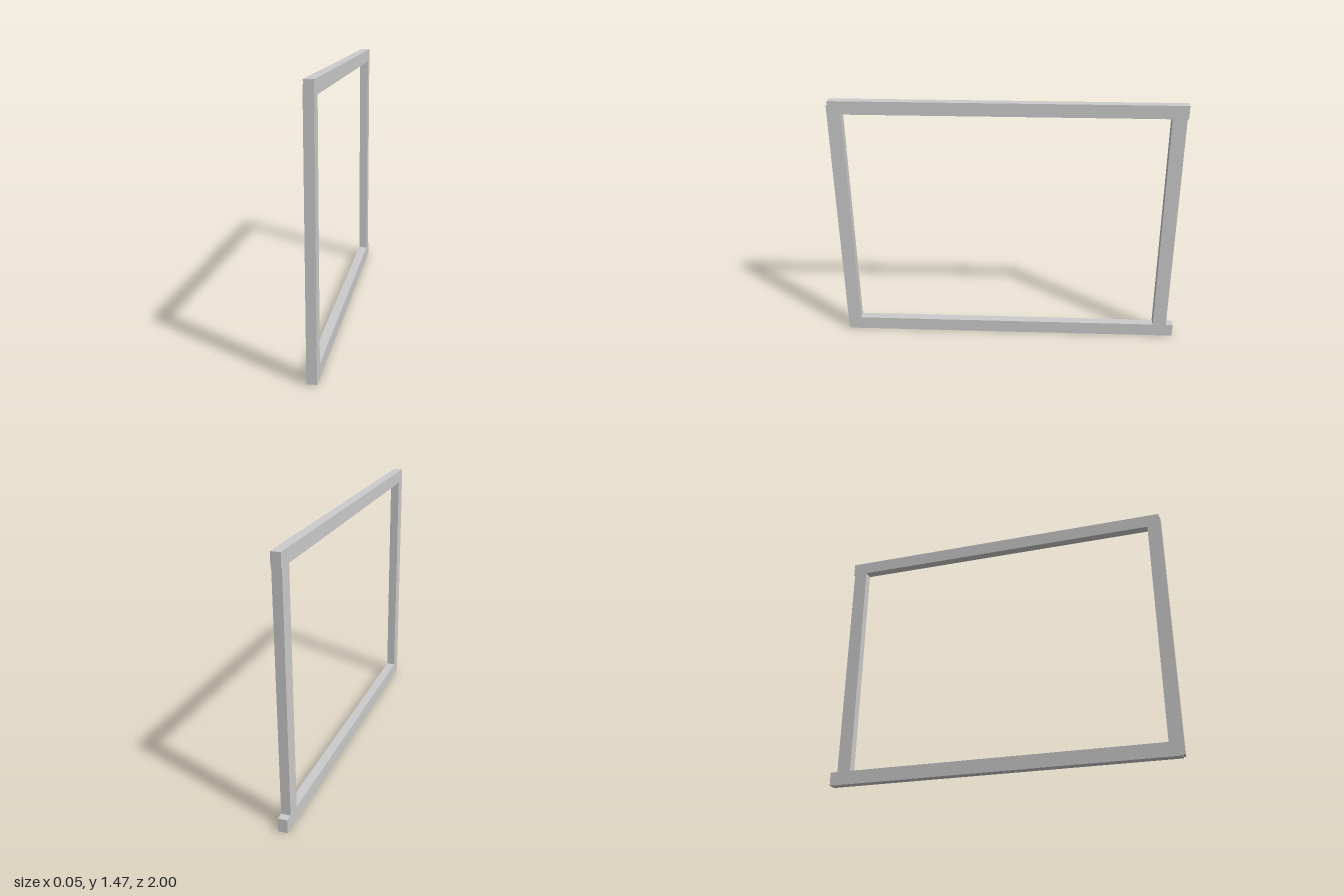
import * as THREE from 'three';

const WIDTH = 0.052;

export function createModel() {
  const group = new THREE.Group();
  group.name = 'rectangularFrame';
  const material = new THREE.MeshStandardMaterial({ color: 0xcccccc, flatShading: true });

  // Square-cut bar spanning the given y and z ranges
  const bar = (name, y0, y1, z0, z1) => {
    const mesh = new THREE.Mesh(new THREE.BoxGeometry(WIDTH, y1 - y0, z1 - z0), material);
    mesh.name = name;
    mesh.position.set(0, (y0 + y1) / 2, (z0 + z1) / 2);
    group.add(mesh);
  };

  // Horizontal rails; the bottom one runs past the rear post
  bar('bottomRail', 0, 0.078, -1, 0.988);
  bar('topRail', 1.39, 1.465, -0.965, 0.992);

  // Upright posts
  bar('frontPost', 0.006, 1.442, 0.922, 1);
  bar('rearPost', 0.006, 1.442, -0.958, -0.878);

  return group;
}
